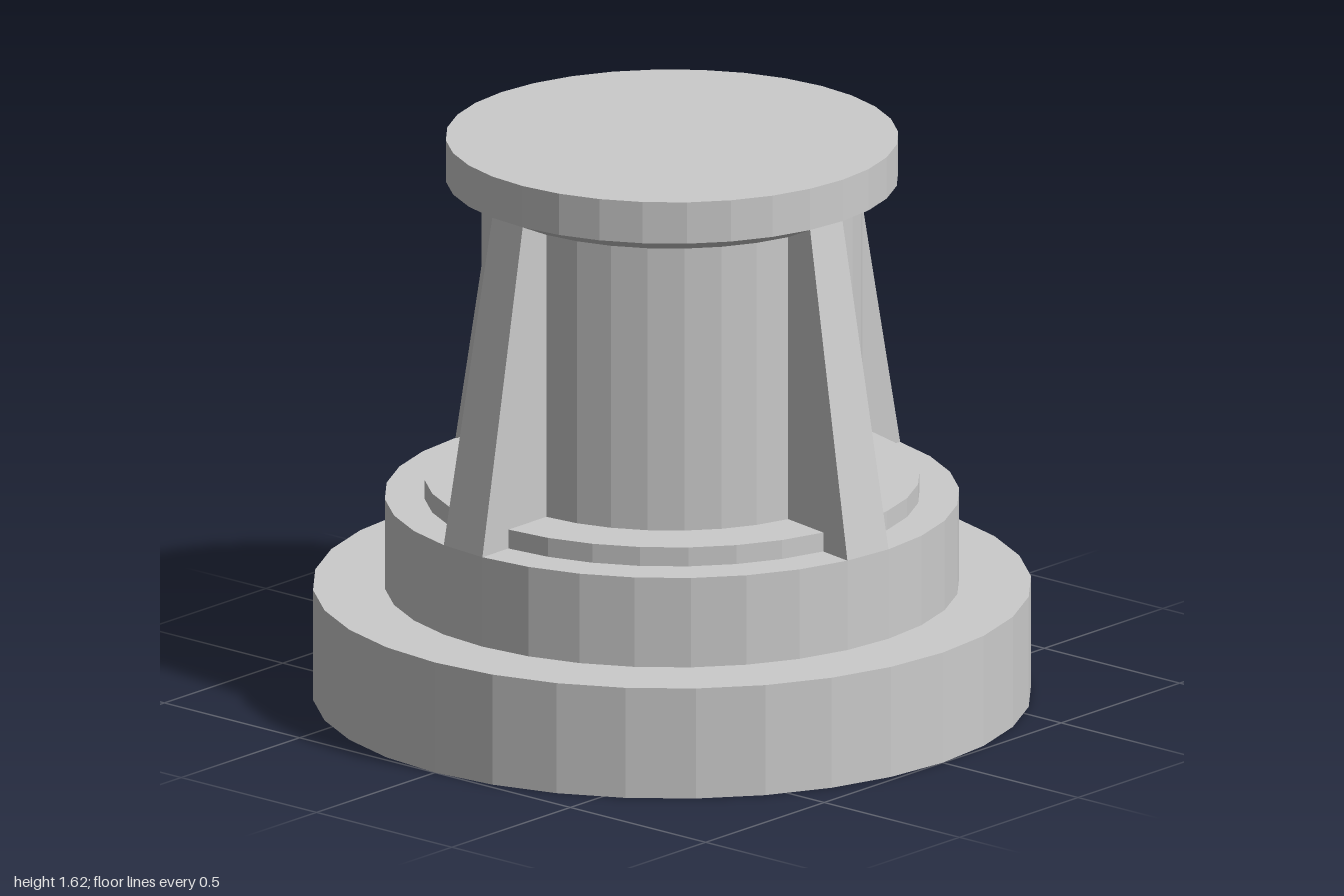
import * as THREE from 'three';

const SIDES = 32;
const STEP = (Math.PI * 2) / SIDES;

export function createModel() {
  const model = new THREE.Group();
  model.name = 'ribbedKnob';
  const material = new THREE.MeshStandardMaterial({ color: 0xcccccc, flatShading: true });

  const add = (name, geometry) => {
    const mesh = new THREE.Mesh(geometry, material);
    mesh.name = name;
    model.add(mesh);
    return mesh;
  };

  // Each round section is turned from [radius, height] points, bottom to top
  const turn = (name, points) =>
    add(name, new THREE.LatheGeometry(points.map(([r, y]) => new THREE.Vector2(r, y)), SIDES));

  turn('base', [[0, 0], [1, 0], [1, 0.32], [0.8, 0.32]]);
  turn('plinth', [[0.8, 0.32], [0.8, 0.58], [0.69, 0.58]]);
  turn('collar', [[0.69, 0.58], [0.69, 0.635], [0.53, 0.635]]);
  turn('drum', [[0.53, 0.635], [0.53, 1.455]]);
  turn('cap', [[0.53, 1.455], [0.63, 1.5], [0.63, 1.62], [0, 1.62]]);

  // Tapered rib: a box bent to fill one facet, leaning in from plinth to cap
  const rib = new THREE.BoxGeometry(1, 1, 1);
  const pos = rib.attributes.position;
  for (let i = 0; i < pos.count; i++) {
    const top = pos.getY(i) > 0;
    const radius = pos.getZ(i) < 0 ? 0.52 : top ? 0.63 : 0.8;
    const angle = pos.getX(i) > 0 ? 0 : -STEP;
    pos.setXYZ(i, radius * Math.sin(angle), top ? 1.5 : 0.58, radius * Math.cos(angle));
  }
  rib.computeVertexNormals();

  ['frontRib', 'leftRib', 'backRib', 'rightRib'].forEach((name, i) => {
    add(name, rib).rotation.y = (i * Math.PI) / 2;
  });

  return model;
}
